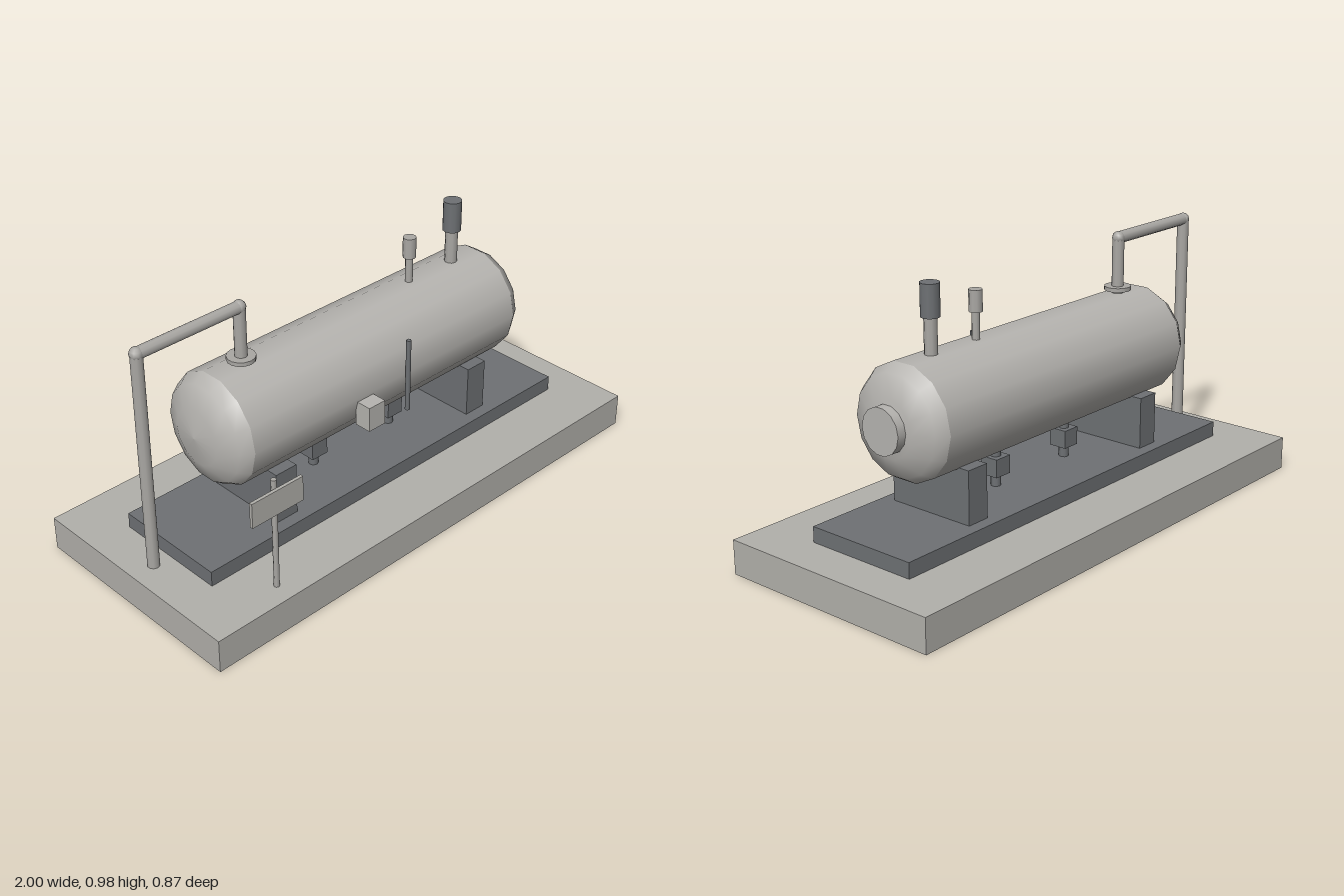
import * as THREE from 'three';

const material = (name, color) => {
  const m = new THREE.MeshStandardMaterial({ color });
  m.name = name;
  return m;
};

export function createModel() {
  const concrete = material('concrete', 0xb2b0ab);
  const shell = material('tankSteel', 0xb6b4b0);
  const pipe = material('pipeSteel', 0xaaa8a4);
  const dark = material('darkSteel', 0x6e7174);
  const model = new THREE.Group();
  model.name = 'horizontalTank';

  const add = (name, geometry, mat, x, y, z, parent = model) => {
    const mesh = new THREE.Mesh(geometry, mat);
    mesh.name = name;
    mesh.position.set(x, y, z);
    parent.add(mesh);
    return mesh;
  };
  // box from its lower and upper corners
  const box = (name, mat, [x0, y0, z0], [x1, y1, z1]) =>
    add(name, new THREE.BoxGeometry(x1 - x0, y1 - y0, z1 - z0), mat,
      (x0 + x1) / 2, (y0 + y1) / 2, (z0 + z1) / 2);
  // upright round bar from y0 to y1
  const post = (name, mat, r, x, y0, y1, z = 0, sides = 10) =>
    add(name, new THREE.CylinderGeometry(r, r, y1 - y0, sides), mat, x, (y0 + y1) / 2, z);

  // foundation and saddles
  box('foundationSlab', concrete, [-1, 0, -0.437], [1, 0.125, 0.437]);
  box('plinth', dark, [-0.843, 0.125, -0.218], [0.843, 0.182, 0.218]);
  for (const x of [-0.47, 0.468])
    box('saddle', dark, [x - 0.045, 0.182, -0.172], [x + 0.045, 0.376, 0.172]);

  // tank, lying along x
  const tank = new THREE.Group();
  tank.name = 'tank';
  tank.position.y = 0.533;
  tank.scale.y = 1.02;
  model.add(tank);
  const R = 0.202, HALF = 0.625, DOME = 0.088, SIDES = 14;
  const body = add('tankBody', new THREE.CylinderGeometry(R, R, HALF * 2, SIDES, 1, true),
    shell, 0, 0, 0, tank);
  body.rotation.z = -Math.PI / 2;
  for (const s of [-1, 1]) {
    const profile = [];
    for (let i = 0; i <= 3; i++) {
      const a = (i * Math.PI) / 6;
      profile.push(new THREE.Vector2(R * Math.cos(a), DOME * Math.sin(a)));
    }
    profile[3].x = 0;
    const dome = add('tankEnd', new THREE.LatheGeometry(profile, SIDES), shell, s * HALF, 0, 0, tank);
    dome.rotation.z = -s * Math.PI / 2;
  }
  const manway = add('manway', new THREE.CylinderGeometry(0.081, 0.081, 0.06, SIDES), shell, 0.708, 0, 0, tank);
  manway.rotation.z = -Math.PI / 2;

  // vent line: riser, crossover, drop and elbows
  post('ventRiser', pipe, 0.022, -0.91, 0.125, 0.94);
  post('ventDrop', pipe, 0.022, -0.5, 0.72, 0.94);
  const cross = post('ventCrossover', pipe, 0.022, -0.705, 0.735, 1.145);
  cross.position.y = 0.94;
  cross.rotation.z = Math.PI / 2;
  for (const x of [-0.91, -0.5])
    add('ventElbow', new THREE.SphereGeometry(0.024, 10, 6), pipe, x, 0.94, 0);
  post('ventFlange', pipe, 0.05, -0.5, 0.745, 0.76, 0, 14);

  // relief valves on top
  post('smallReliefStem', pipe, 0.014, 0.28, 0.72, 0.83);
  post('smallReliefCap', pipe, 0.024, 0.28, 0.83, 0.907);
  post('largeReliefStem', pipe, 0.023, 0.497, 0.72, 0.86);
  post('largeReliefCap', dark, 0.034, 0.497, 0.86, 0.975, 0, 12);

  // drain lines underneath
  for (const x of [-0.19, 0.185]) {
    post('drainPipe', dark, 0.018, x, 0.182, 0.35);
    box('drainValve', dark, [x - 0.035, 0.225, -0.035], [x + 0.035, 0.292, 0.035]);
  }

  // fittings on the front side
  box('gaugeBox', shell, [-0.166, 0.425, 0.19], [-0.092, 0.518, 0.255]);
  post('levelGauge', dark, 0.009, 0.061, 0.393, 0.673, 0.214, 8);

  // sign on its post
  post('signPost', pipe, 0.01, -0.69, 0.125, 0.549, 0.361, 8);
  box('signBoard', concrete, [-0.798, 0.425, 0.369], [-0.584, 0.518, 0.381]);

  return model;
}
